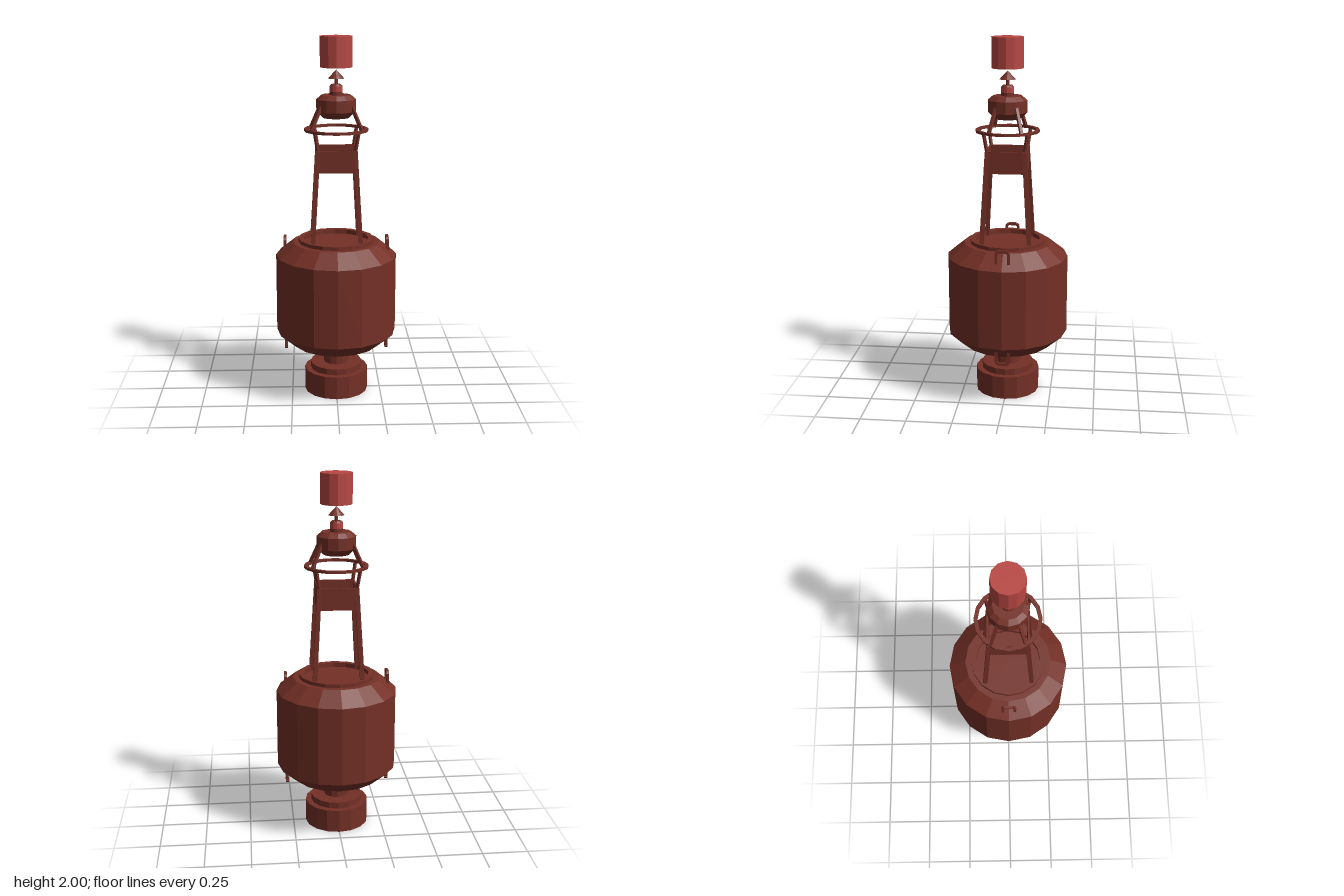
import * as THREE from 'three';

const rust = new THREE.MeshStandardMaterial({ name: 'rust red', color: 0x743026, flatShading: true, side: THREE.DoubleSide });
const signal = new THREE.MeshStandardMaterial({ name: 'signal red', color: 0xb94743, flatShading: true });

export function createModel() {
  const model = new THREE.Group();
  model.name = 'buoy';

  const add = (name, geometry, material = rust, parent = model) => {
    const mesh = new THREE.Mesh(geometry, material);
    mesh.name = name;
    parent.add(mesh);
    return mesh;
  };
  // Turned part from [radius, height] pairs, bottom to top
  const turned = (name, pairs, sides = 16, material = rust) =>
    add(name, new THREE.LatheGeometry(pairs.map(([r, y]) => new THREE.Vector2(r, y)), sides), material);
  // Square bar between two points
  const bar = (name, a, b, size, parent = model) => {
    const from = new THREE.Vector3(...a), to = new THREE.Vector3(...b);
    const mesh = add(name, new THREE.BoxGeometry(size, size, from.distanceTo(to)), rust, parent);
    mesh.position.copy(from).add(to).multiplyScalar(0.5);
    mesh.lookAt(to);
    return mesh;
  };

  // Counterweight and neck
  turned('counterweight', [[0, 0], [0.178, 0], [0.178, 0.13], [0.145, 0.13], [0.145, 0.165], [0, 0.165]]);
  turned('neck', [[0.07, 0.16], [0.07, 0.29]], 12);
  turned('neckCollar', [[0, 0.275], [0.165, 0.275], [0.165, 0.285]]);

  // Float with a raised rim around a shallow well
  turned('float', [[0, 0.283], [0.245, 0.283], [0.335, 0.36], [0.335, 0.8], [0.242, 0.875],
    [0.21, 0.875], [0.21, 0.895], [0.18, 0.895], [0.18, 0.87], [0, 0.87]]);

  // Lifting handles with clipped corners, above and below on both sides
  for (const x of [-0.284, 0.284]) {
    for (const [name, base, tip] of [['upperHandle', 0.82, 0.898], ['lowerHandle', 0.335, 0.257]]) {
      const handle = new THREE.Group();
      handle.name = name;
      model.add(handle);
      const bend = tip - Math.sign(tip - base) * 0.012;
      const path = [[x, base, -0.034], [x, bend, -0.034], [x, tip, -0.024],
        [x, tip, 0.024], [x, bend, 0.034], [x, base, 0.034]];
      for (let i = 1; i < path.length; i++) bar('handleBar', path[i - 1], path[i], 0.015, handle);
    }
  }

  // Tower legs, ring props and lamp props at each corner
  for (const sx of [-1, 1]) {
    for (const sz of [-1, 1]) {
      const corner = (x, y, z) => [sx * x, y, sz * z];
      // Tapered leg keeps its edges square to the tower
      const leg = new THREE.BoxGeometry(0.024, 0.53, 0.024);
      const p = leg.attributes.position;
      for (let i = 0; i < p.count; i++) {
        const centre = p.getY(i) > 0 ? 0.1 : 0.131;
        p.setXYZ(i, p.getX(i) + sx * centre, p.getY(i) + 1.135, p.getZ(i) + sz * centre);
      }
      leg.computeVertexNormals();
      add('towerLeg', leg);
      bar('ringProp', corner(0.1, 1.39, 0.1), corner(0.117, 1.5, 0.117), 0.014);
      bar('lampProp', corner(0.137, 1.5, 0.088), corner(0.078, 1.64, 0.052), 0.016);
    }
  }

  // Four panels forming an open box around the tower
  for (let i = 0; i < 4; i++) {
    const side = new THREE.Group();
    side.name = 'panelSide';
    side.rotation.y = i * Math.PI / 2;
    model.add(side);
    add('panel', new THREE.BoxGeometry(0.212, 0.12, 0.01), rust, side).position.set(0, 1.34, 0.106);
  }

  // Flat guard ring
  turned('guardRing', [[0.155, 1.493], [0.175, 1.493], [0.175, 1.507], [0.155, 1.507], [0.155, 1.493]]);

  // Lamp housing with a red band
  turned('lampHousing', [[0, 1.565], [0.072, 1.565], [0.107, 1.6], [0.107, 1.665], [0.08, 1.688], [0, 1.688]], 12);
  turned('lampBase', [[0.035, 1.685], [0.035, 1.705]], 12);
  turned('lampBand', [[0.035, 1.705], [0.035, 1.735]], 12, signal);
  turned('lampCap', [[0.035, 1.735], [0.026, 1.745], [0, 1.745]], 12);

  // Spindle and cone
  turned('spindle', [[0.009, 1.74], [0.009, 1.78]], 8);
  turned('cone', [[0, 1.775], [0.044, 1.775], [0, 1.822]], 12);

  // Cylindrical top mark
  add('topMark', new THREE.CylinderGeometry(0.087, 0.087, 0.165, 12), signal).position.y = 1.9175;

  return model;
}
